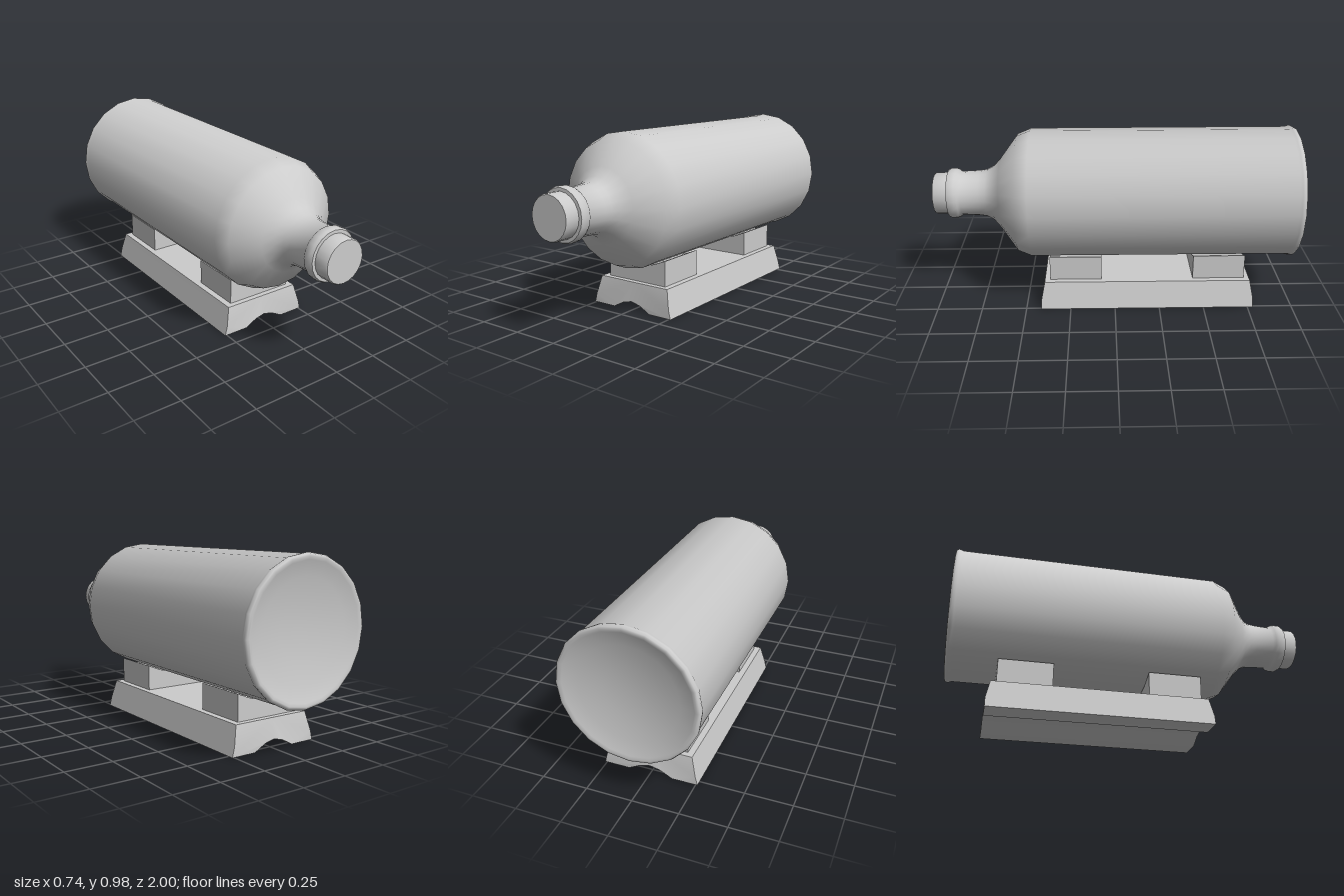
import * as THREE from 'three';
import { toCreasedNormals } from 'three/addons/utils/BufferGeometryUtils.js';

const material = new THREE.MeshStandardMaterial({ color: 0xcccccc });
const SIDES = 20;
const AXIS_Y = 0.607; // height of the bottle's centre line

const vec = ([x, y]) => new THREE.Vector2(x, y);

function addMesh(parent, name, geometry, crease) {
  const mesh = new THREE.Mesh(toCreasedNormals(geometry, crease), material);
  mesh.name = name;
  parent.add(mesh);
  return mesh;
}

// Lathe around the z axis; profile is [radius, z] from back to front
function turned(profile) {
  return new THREE.LatheGeometry(profile.map(vec), SIDES).rotateX(Math.PI / 2);
}

// Closed outline from its right half (listed bottom centre to top centre), extruded z0..z1
function symmetricBar(half, z0, z1) {
  const left = half.filter(([x]) => x > 0).reverse().map(([x, y]) => [-x, y]);
  const shape = new THREE.Shape([...half, ...left].map(vec));
  return new THREE.ExtrudeGeometry(shape, { depth: z1 - z0, bevelEnabled: false }).translate(0, 0, z0);
}

export function createModel() {
  const model = new THREE.Group();
  model.name = 'bottleOnStand';

  const bottle = new THREE.Group();
  bottle.name = 'bottle';
  bottle.position.y = AXIS_Y;
  model.add(bottle);

  // Glass: dished bottom, rim, body, shoulder, neck and collar
  addMesh(bottle, 'bottleBody', turned([
    [0, -0.95], [0.14, -0.957], [0.26, -0.975], [0.335, -0.994], [0.35, -1],
    [0.362, -0.997], [0.368, -0.985], [0.366, -0.972], [0.361, -0.96],
    [0.36, 0.46], [0.33, 0.535], [0.2, 0.63], [0.155, 0.67], [0.133, 0.71],
    [0.127, 0.75], [0.122, 0.85], [0.134, 0.865], [0.14, 0.88], [0.14, 0.908],
    [0.133, 0.922], [0.11, 0.923],
  ]), 0.9);

  // Stopper in the mouth
  addMesh(bottle, 'stopper', turned([
    [0.116, 0.915], [0.116, 0.993], [0.111, 1], [0, 1],
  ]), 0.9);

  const stand = new THREE.Group();
  stand.name = 'stand';
  model.add(stand);

  // Base bar with a grooved underside and ends that lean inwards
  const base = symmetricBar([
    [0, 0.048], [0.055, 0.035], [0.115, 0.003], [0.12, 0], [0.26, 0],
    [0.248, 0.05], [0.224, 0.152], [0, 0.152],
  ], -0.78, 0.415);
  const pos = base.attributes.position;
  for (let i = 0; i < pos.count; i++) {
    const inset = Math.max(0, pos.getY(i) - 0.05) * 0.2;
    pos.setZ(i, pos.getZ(i) - Math.sign(pos.getZ(i)) * inset);
  }
  addMesh(stand, 'base', base, 0.7);

  // Two saddles, their tops hollowed to fit the bottle
  const saddle = [[0, 0.15], [0.19, 0.15]];
  for (let i = 6; i >= 0; i--) {
    const x = (0.19 * i) / 6;
    saddle.push([x, AXIS_Y - Math.sqrt(0.364 ** 2 - x * x) - (i === 6 ? 0.005 : 0)]);
  }
  for (const [name, z0, z1] of [['frontSaddle', 0.075, 0.365], ['backSaddle', -0.73, -0.44]]) {
    addMesh(stand, name, symmetricBar(saddle, z0, z1), 0.7);
  }

  return model;
}
